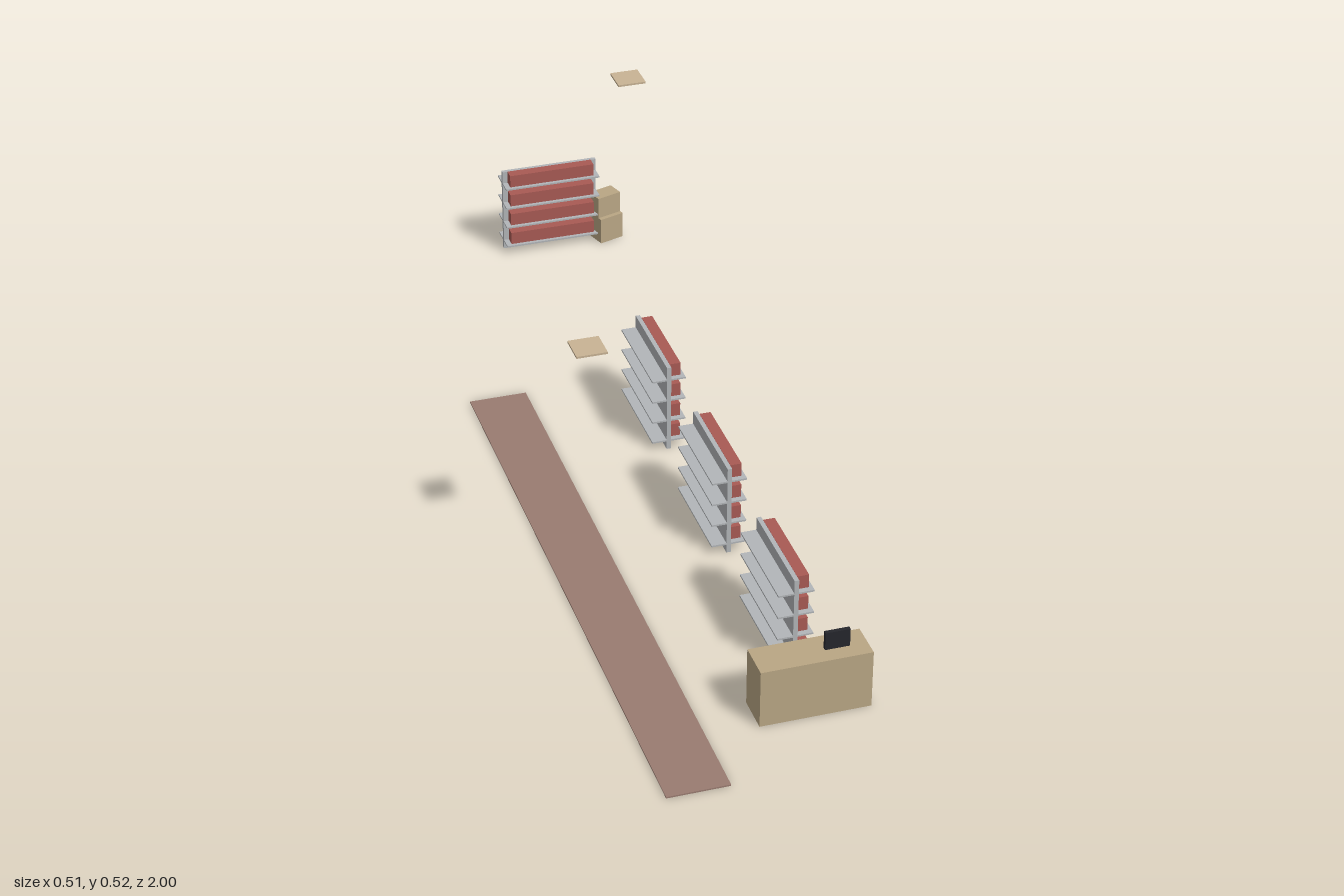
import * as THREE from 'three';

const mat = (name, color) => {
  const m = new THREE.MeshStandardMaterial({ color });
  m.name = name;
  return m;
};

export function createModel() {
  const tan = mat('tan wood', 0xb9a684);
  const cream = mat('cream panel', 0xc8b394);
  const grey = mat('shelf grey', 0xb2b5b8);
  const red = mat('stock red', 0xa85a54);
  const brown = mat('walkway brown', 0x997b70);
  const dark = mat('screen black', 0x25262c);

  const root = new THREE.Group();
  root.name = 'shopInterior';

  // Box centred on x and z, standing on height y
  const box = (parent, name, material, w, h, d, x, y, z) => {
    const mesh = new THREE.Mesh(new THREE.BoxGeometry(w, h, d), material);
    mesh.name = name;
    mesh.position.set(x, y + h / 2, z);
    parent.add(mesh);
    return mesh;
  };

  // Walkway strip
  box(root, 'walkway', brown, 0.12, 0.003, 1.355, -0.195, 0, 0.3225);

  // Ceiling light panels
  for (const [x, z] of [[-0.195, 0.322], [0.195, -0.703]])
    box(root, 'ceilingLight', cream, 0.06, 0.004, 0.06, x, 0.517, z);

  // Checkout counter with a screen
  box(root, 'counter', tan, 0.215, 0.12, 0.075, 0.0745, 0, 0.818);
  box(root, 'screen', dark, 0.048, 0.037, 0.008, 0.124, 0.12, 0.82);

  // Shelf unit: upright panel, boards through both sides, stock on +x side
  const shelfUnit = (name, x, z, turn) => {
    const unit = new THREE.Group();
    unit.name = name;
    unit.position.set(x, 0, z);
    unit.rotation.y = turn;
    box(unit, 'backPanel', grey, 0.009, 0.193, 0.215, 0, 0, 0);
    for (let i = 0; i < 4; i++) {
      const y = 0.018 + i * 0.048;
      for (const s of [-1, 1])
        box(unit, 'shelfBoard', grey, 0.0305, 0.0035, 0.215, s * 0.01975, y, 0);
      box(unit, 'stock', red, 0.023, 0.028, 0.192, 0.016, y + 0.0035, 0);
    }
    root.add(unit);
  };
  for (const z of [0.595, 0.21, -0.175]) shelfUnit('aisleShelf', 0.0875, z, 0);
  shelfUnit('backShelf', 0.09, -0.9655, -Math.PI / 2);

  // Turned two-step cabinet
  const cabinet = new THREE.Group();
  cabinet.name = 'cabinet';
  cabinet.position.set(0.2165, 0, -0.955);
  cabinet.rotation.y = 0.3;
  box(cabinet, 'cabinetBase', tan, 0.0586, 0.06, 0.058, 0, 0, 0);
  box(cabinet, 'cabinetTop', tan, 0.0586, 0.049, 0.038, 0, 0.06, 0);
  root.add(cabinet);

  return root;
}
